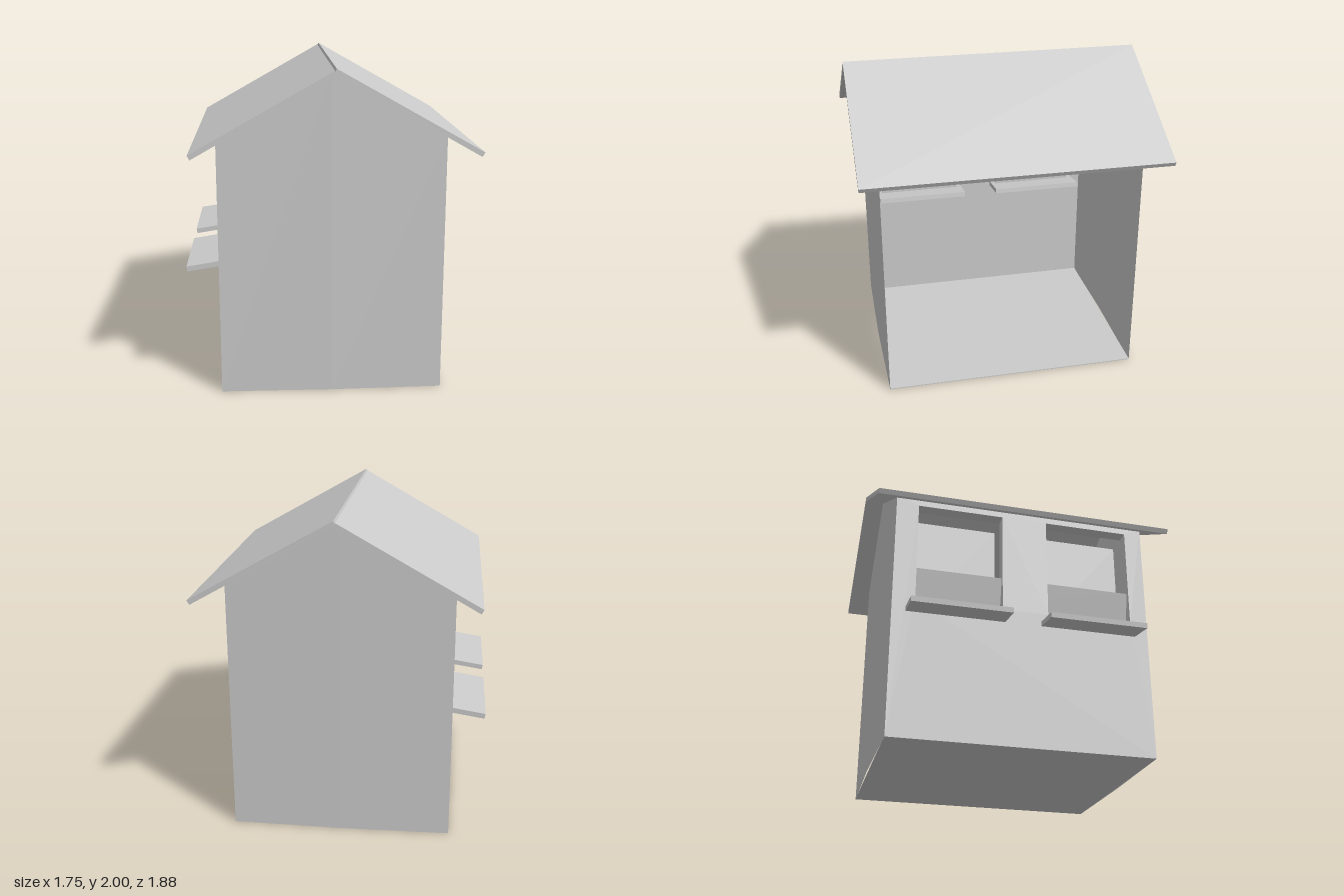
import * as THREE from 'three';

const material = new THREE.MeshStandardMaterial({ color: 0xcccccc, flatShading: true, side: THREE.DoubleSide });

export function createModel() {
  const group = new THREE.Group();

  const add = (name, geometry) => {
    const mesh = new THREE.Mesh(geometry, material);
    mesh.name = name;
    group.add(mesh);
    return mesh;
  };
  // Box given by its limits on each axis
  const box = (name, x0, x1, y0, y1, z0, z1) => {
    const mesh = add(name, new THREE.BoxGeometry(x1 - x0, y1 - y0, z1 - z0));
    mesh.position.set((x0 + x1) / 2, (y0 + y1) / 2, (z0 + z1) / 2);
    return mesh;
  };
  // Outline in the x-y plane, extruded along z
  const prism = (name, points, z0, z1) => {
    const shape = new THREE.Shape(points.map(([x, y]) => new THREE.Vector2(x, y)));
    const mesh = add(name, new THREE.ExtrudeGeometry(shape, { depth: z1 - z0, bevelEnabled: false }));
    mesh.position.z = z0;
    return mesh;
  };

  const W = 0.68, D = 0.81, EAVE = 1.59, PEAK = 1.985;

  // Gable walls: two thin halves each, with a slight crease in the middle
  for (const end of [1, -1]) {
    for (const side of [1, -1]) {
      const half = new THREE.Shape([
        new THREE.Vector2(0, 0), new THREE.Vector2(side * W, 0),
        new THREE.Vector2(side * W, EAVE), new THREE.Vector2(0, PEAK),
      ]);
      const geometry = new THREE.ShapeGeometry(half);
      const p = geometry.attributes.position;
      for (let i = 0; i < p.count; i++) {
        p.setZ(i, end * (D + (Math.abs(p.getX(i)) < 0.01 ? 0.01 : 0)));
      }
      geometry.computeVertexNormals();
      add(end > 0 ? 'frontWall' : 'backWall', geometry);
    }
  }

  // Floor
  box('floor', -W, W, 0, 0.006, -D, D);

  // Serving wall with two window holes, outline drawn in z-y
  const windows = [[0.16, 0.70], [-0.67, -0.13]];
  const SILL = 0.87, HEAD = 1.53;
  const wall = new THREE.Shape([
    new THREE.Vector2(-D, 0), new THREE.Vector2(D, 0),
    new THREE.Vector2(D, EAVE), new THREE.Vector2(-D, EAVE),
  ]);
  for (const [a, b] of windows) {
    wall.holes.push(new THREE.Path([
      new THREE.Vector2(-a, SILL), new THREE.Vector2(-a, HEAD),
      new THREE.Vector2(-b, HEAD), new THREE.Vector2(-b, SILL),
    ]));
  }
  const servingWall = add('servingWall', new THREE.ExtrudeGeometry(wall, { depth: 0.08, bevelEnabled: false }));
  servingWall.rotation.y = Math.PI / 2;
  servingWall.position.x = -W;

  // Panels set back behind the windows
  for (const [a, b] of windows) box('windowPanel', -0.48, -0.465, SILL, HEAD, a, b);

  // Leaning board across the lower half of both windows
  const board = box('leaningBoard', -0.6275, -0.6025, 0.85, 1.105, -0.70, 0.72);
  board.rotation.z = 0.23;

  // Sloping counter shelves through the wall
  for (const z of [0.42, -0.42]) {
    const shelf = box('counterShelf', -0.88, -0.36, 0.797, 0.829, z - 0.305, z + 0.305);
    shelf.rotation.z = 0.155;
  }

  // Lintel and raised flaps over the open side
  box('lintel', W - 0.05, W, 1.51, EAVE, -D, D);
  for (const [a, b] of windows) box('raisedFlap', 0.45, W - 0.01, 1.53, 1.55, a, b);

  // Roof slabs
  prism('leftRoof', [[-0.835, 1.515], [-0.82, 1.488], [0.015, 1.962], [0.005, 1.988]], -0.94, 0.94);
  prism('rightRoof', [[0.015, 2.0], [0.002, 1.974], [0.86, 1.488], [0.875, 1.515]], -0.94, 0.94);

  return group;
}
